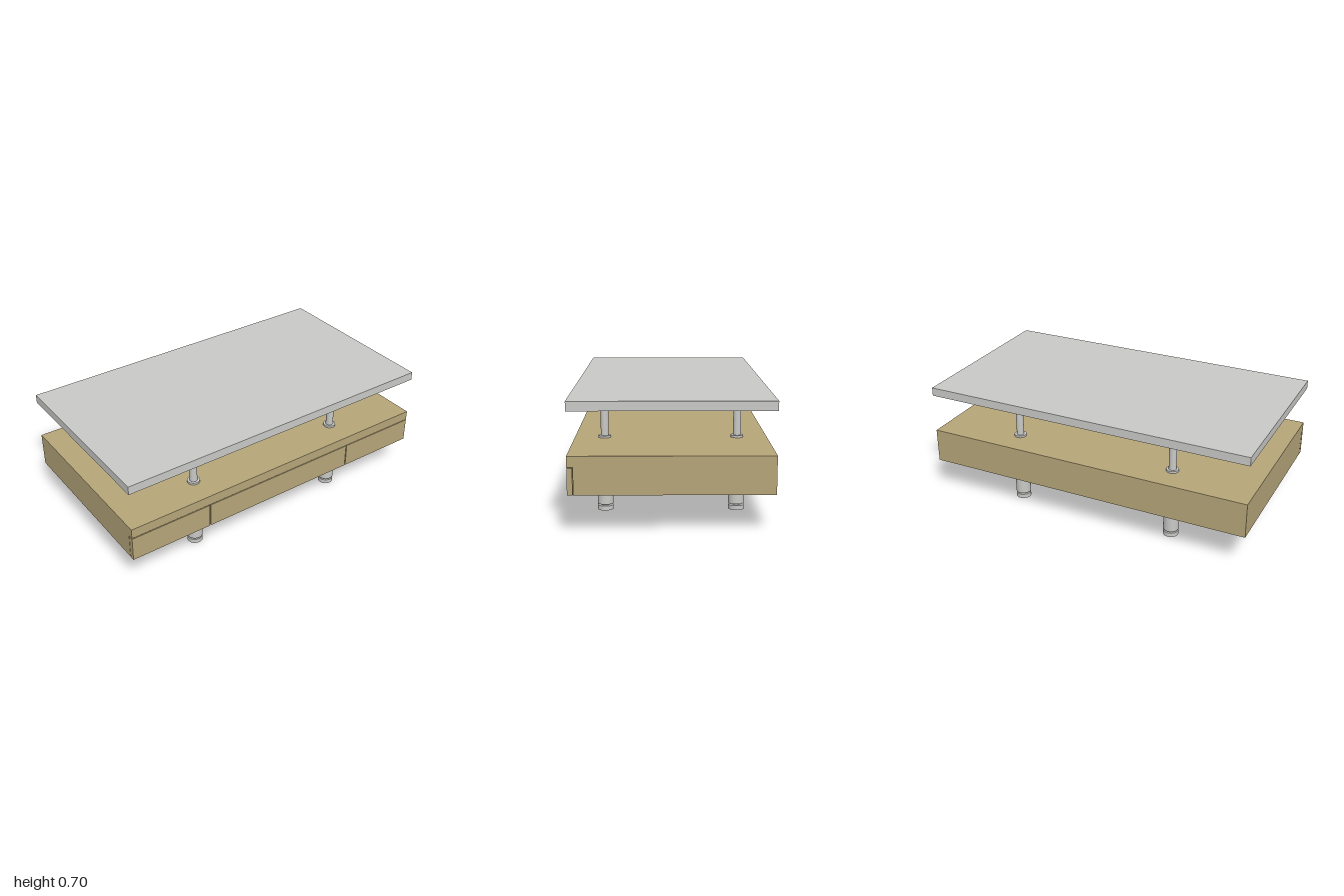
import * as THREE from 'three';

export function createModel() {
  const model = new THREE.Group();
  model.name = 'coffeeTable';

  const wood = new THREE.MeshStandardMaterial({ color: 0xb5a579 });
  wood.name = 'oak';
  const grey = new THREE.MeshStandardMaterial({ color: 0xc9c9c7 });
  grey.name = 'satin grey';

  const W = 2, D = 1.084;
  const baseY = 0.212, cabinetTop = 0.419;
  const slabBottom = 0.652, slabTop = 0.703;

  function add(name, geometry, material, parent = model) {
    const mesh = new THREE.Mesh(geometry, material);
    mesh.name = name;
    parent.add(mesh);
    return mesh;
  }
  function box(name, x0, x1, y0, y1, z0, z1, material) {
    add(name, new THREE.BoxGeometry(x1 - x0, y1 - y0, z1 - z0), material)
      .position.set((x0 + x1) / 2, (y0 + y1) / 2, (z0 + z1) / 2);
  }
  function cylinder(name, r, y0, y1, parent) {
    add(name, new THREE.CylinderGeometry(r, r, y1 - y0, 32), grey, parent)
      .position.y = (y0 + y1) / 2;
  }

  // Raised table top
  box('tableTop', -W / 2, W / 2, slabBottom, slabTop, -D / 2, D / 2, grey);

  // Cabinet: side profile (z, y) with a lip over the drawer recess
  const profile = new THREE.Shape([
    [-D / 2, baseY], [0.51, baseY], [0.51, 0.361],
    [D / 2, 0.361], [D / 2, cabinetTop], [-D / 2, cabinetTop],
  ].map(([z, y]) => new THREE.Vector2(z, y)));
  const cabinet = new THREE.ExtrudeGeometry(profile, { depth: W, bevelEnabled: false });
  cabinet.rotateY(-Math.PI / 2);
  cabinet.translate(W / 2, 0, 0);
  add('cabinet', cabinet, wood);

  // Three drawer fronts separated by narrow gaps
  const gap = 0.003;
  for (const [name, x0, x1] of [
    ['rightDrawerFront', -1, -0.5 - gap],
    ['middleDrawerFront', -0.5 + gap, 0.5 - gap],
    ['leftDrawerFront', 0.5 + gap, 1],
  ]) box(name, x0, x1, baseY, 0.356, 0.513, D / 2, wood);

  // Four legs below the cabinet with matching posts above it
  for (const x of [-0.5, 0.5]) {
    for (const z of [-0.374, 0.374]) {
      const support = new THREE.Group();
      support.name = (z > 0 ? 'front' : 'back') + (x > 0 ? 'Left' : 'Right') + 'Support';
      support.position.set(x, 0, z);
      model.add(support);
      cylinder('foot', 0.045, 0, 0.026, support);
      cylinder('footNeck', 0.026, 0.026, 0.035, support);
      cylinder('leg', 0.045, 0.035, baseY, support);
      cylinder('lowerFlange', 0.036, cabinetTop, 0.431, support);
      cylinder('post', 0.022, 0.431, 0.641, support);
      cylinder('upperFlange', 0.036, 0.641, slabBottom, support);
    }
  }
  return model;
}
